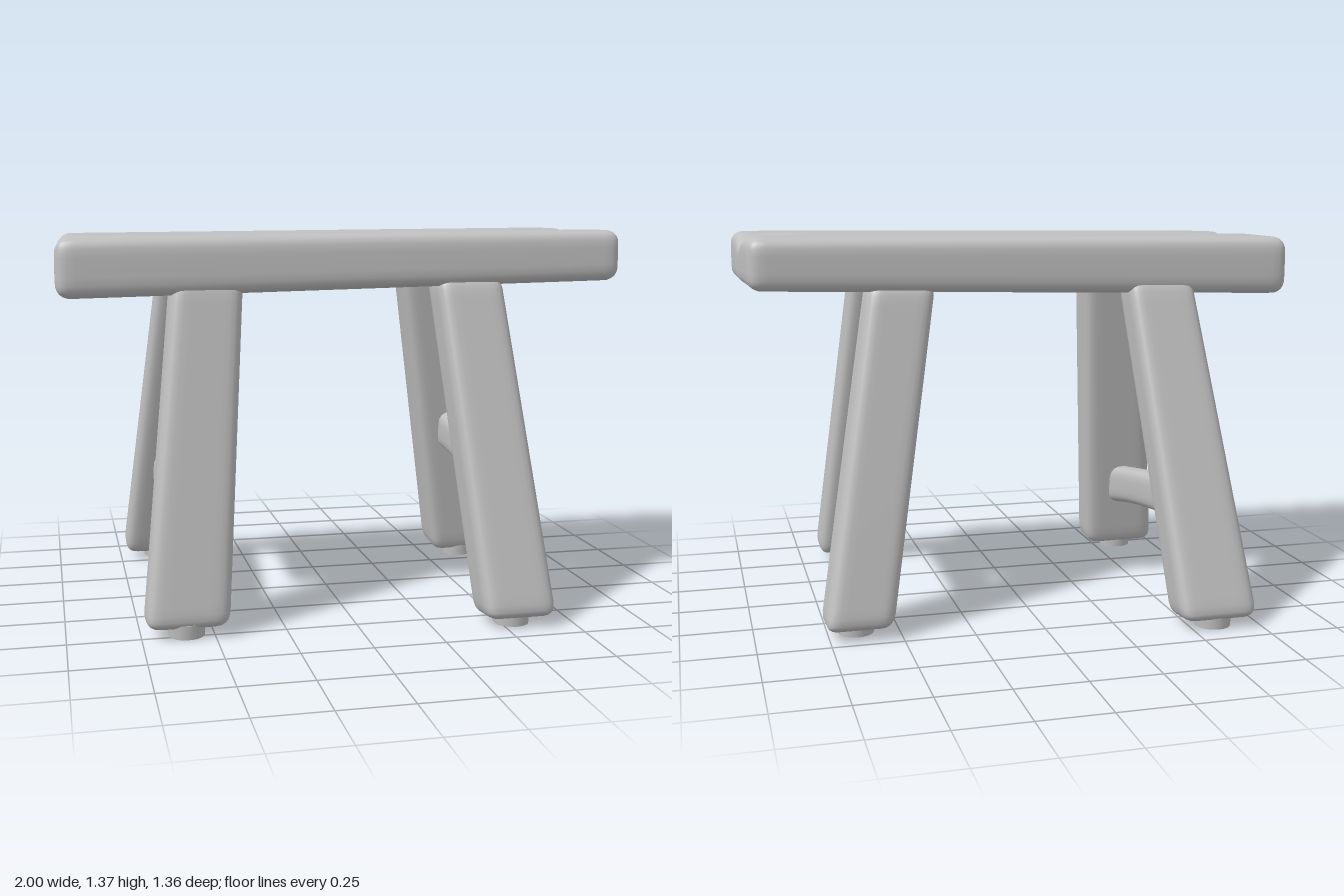
import * as THREE from 'three';
import { mergeVertices } from 'three/addons/utils/BufferGeometryUtils.js';

const { lerp, clamp, smoothstep } = THREE.MathUtils;

// Box with rounded edges and a dense grid, reshaped by rule(point)
function softBox(size, segments, radius, rule) {
  const g = new THREE.BoxGeometry(2, 2, 2, ...segments);
  g.deleteAttribute('uv');
  g.deleteAttribute('normal');
  const pos = g.attributes.position;
  const p = new THREE.Vector3(), inner = new THREE.Vector3();
  const crowd = t => Math.sign(t) * (1 - Math.pow(1 - Math.min(1, Math.abs(t)), 1.8));
  for (let i = 0; i < pos.count; i++) {
    p.fromBufferAttribute(pos, i);
    ['x', 'y', 'z'].forEach((a, k) => {
      const half = size[k] / 2;
      p[a] = crowd(p[a]) * half;
      inner[a] = clamp(p[a], radius - half, half - radius);
    });
    p.sub(inner).setLength(radius).add(inner);
    rule(p);
    pos.setXYZ(i, p.x, p.y, p.z);
  }
  const merged = mergeVertices(g, 1e-5);
  merged.computeVertexNormals();
  return merged;
}

export function createModel() {
  const group = new THREE.Group();
  const wood = new THREE.MeshStandardMaterial({ color: 0xc0c0c0 });
  const add = (name, geometry) => {
    const mesh = new THREE.Mesh(geometry, wood);
    mesh.name = name;
    group.add(mesh);
    return mesh;
  };

  // Plank seat: slightly wedge-shaped, skewed, with a worn notch at each end
  add('seat', softBox([2, 0.2, 0.71], [36, 10, 28], 0.05, p => {
    const x = p.x, z = p.z, t = p.y / 0.2 + 0.5;
    const worn = smoothstep(Math.abs(x), 0.75, 1) * Math.exp(-(((z - 0.1 + 0.08 * x) / 0.09) ** 2));
    p.x = x * (0.988 + 0.035 * z);
    p.y = lerp(1.165 + 0.022 * x, 1.36 + 0.008 * x, t) - 0.035 * worn * t;
    p.z = z + 0.045 + 0.015 * x;
  }));

  // Splayed legs: x and z ranges at the foot and under the seat
  const legs = [
    { name: 'frontLeftLeg', foot: [0.42, 0.68, 0.51, 0.695], top: [0.32, 0.56, 0.21, 0.39], peg: [0.54, 0.585] },
    { name: 'frontRightLeg', foot: [-0.74, -0.45, 0.4, 0.555], top: [-0.61, -0.365, 0.2, 0.375], peg: [-0.595, 0.48] },
    { name: 'backLeftLeg', foot: [0.53, 0.77, -0.495, -0.29], top: [0.33, 0.565, -0.28, -0.1], peg: [0.65, -0.36] },
    { name: 'backRightLeg', foot: [-0.735, -0.45, -0.69, -0.52], top: [-0.61, -0.365, -0.31, -0.14], peg: [-0.59, -0.6] },
  ];
  const height = 1.18, foot = 0.03;
  for (const leg of legs) {
    const out = Math.sign(leg.foot[2]);
    add(leg.name, softBox([0.26, height, 0.18], [14, 24, 14], 0.045, p => {
      const t = p.y / height + 0.5;
      const [x0, x1, z0, z1] = leg.foot.map((v, i) => lerp(v, leg.top[i], t));
      const u = p.x / 0.26 + 0.5, v = p.z / 0.18 + 0.5;
      p.y = foot + t * height + 0.1 * out * p.z * (1 - t);
      p.x = lerp(x0, x1, u);
      p.z = lerp(z0, z1, v);
    }));
    // Peg end showing under the foot
    const peg = add(leg.name + 'Peg', new THREE.CylinderGeometry(0.066, 0.062, 0.05, 24));
    peg.position.set(leg.peg[0], 0.025, leg.peg[1]);
  }

  // Stretchers joining each front leg to the back leg behind it
  const stretchers = [
    { name: 'leftStretcher', front: [0.52, 0.5, 0.46], back: [0.57, 0.56, -0.28], bow: 0.005 },
    { name: 'rightStretcher', front: [-0.58, 0.275, 0.45], back: [-0.57, 0.4, -0.52], bow: 0.02 },
  ];
  for (const s of stretchers) {
    add(s.name, softBox([0.1, 0.145, 1], [10, 10, 24], 0.042, p => {
      const t = p.z + 0.5;
      const swell = 1 + 0.12 * (2 * t - 1) ** 4;
      p.x = lerp(s.back[0], s.front[0], t) + p.x * swell;
      p.y = lerp(s.back[1], s.front[1], t) + p.y * swell + s.bow * Math.sin(Math.PI * t);
      p.z = lerp(s.back[2], s.front[2], t);
    }));
  }
  return group;
}
